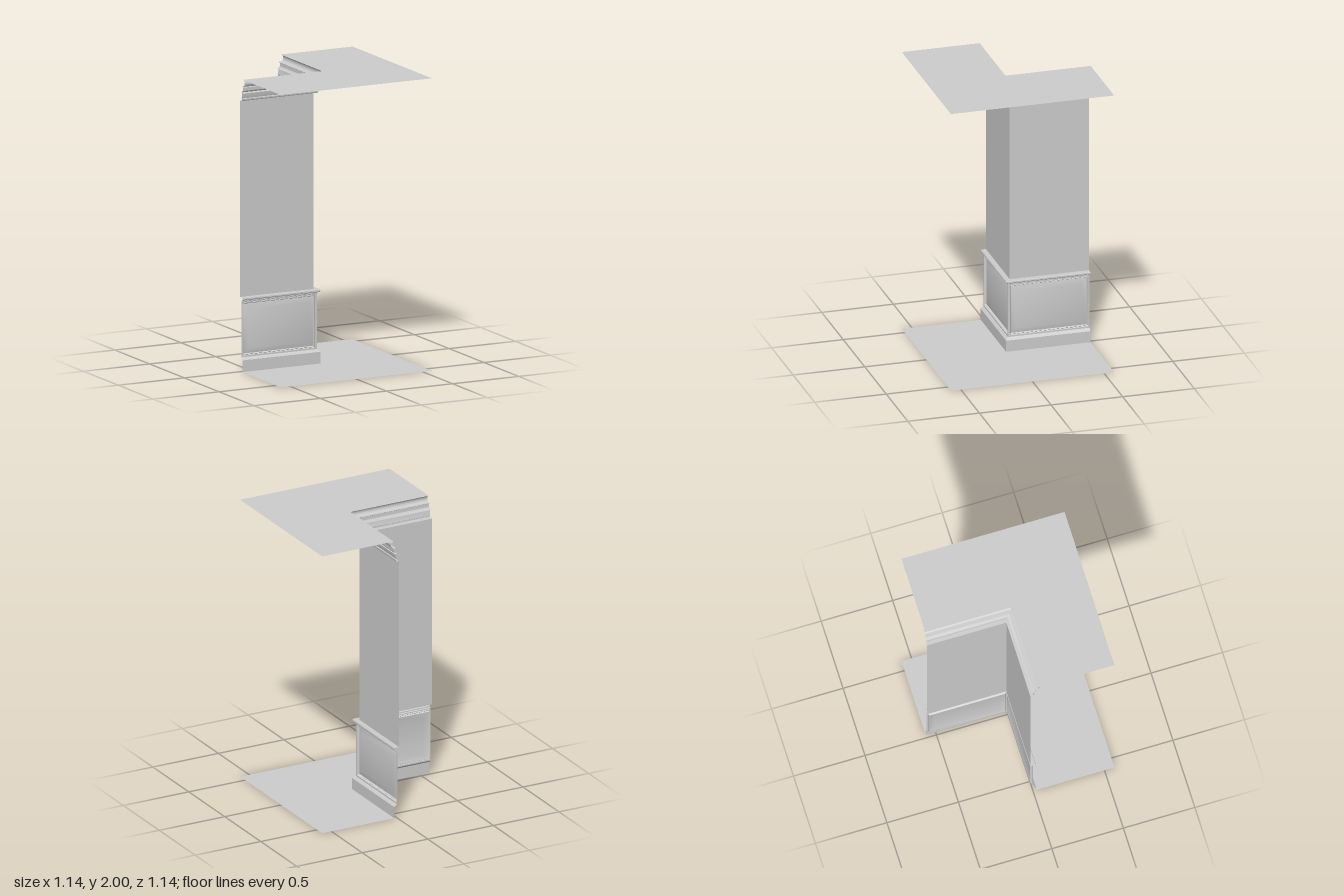
import * as THREE from 'three';
import { toCreasedNormals } from 'three/addons/utils/BufferGeometryUtils.js';

const END = 0.57;      // extent of walls, floor and ceiling
const WALL = -0.017;   // wall plane offset
const material = new THREE.MeshStandardMaterial({ color: 0xcccccc, side: THREE.DoubleSide });

function addMesh(group, name, geometry) {
  const mesh = new THREE.Mesh(geometry, material);
  mesh.name = name;
  group.add(mesh);
}

// Joins neighbouring rows of points with quads
function loft(rows) {
  const positions = [];
  for (let i = 0; i < rows.length - 1; i++) {
    for (let j = 0; j < rows[i].length - 1; j++) {
      const a = rows[i][j], b = rows[i][j + 1], c = rows[i + 1][j + 1], d = rows[i + 1][j];
      positions.push(...a, ...b, ...c, ...a, ...c, ...d);
    }
  }
  const geometry = new THREE.BufferGeometry();
  geometry.setAttribute('position', new THREE.Float32BufferAttribute(positions, 3));
  geometry.computeVertexNormals();
  return toCreasedNormals(geometry, 0.5);
}

// Runs a profile of [offset, height] along both walls, mitred at the corner
function sweep(profile) {
  return loft(profile.map(([d, y]) => [[-END, y, d], [d, y, d], [d, y, -END]]));
}

// Raised panel made of nested rectangles: [u0, u1, y0, y1, depth]
function panel(rings, side) {
  const place = (u, y, d) => (side ? [d, y, u] : [u, y, d]);
  const rows = rings.map(([u0, u1, y0, y1, d]) => {
    const row = [[u0, y0], [u1, y0], [u1, y1], [u0, y1], [u0, y0]].map(([u, y]) => place(u, y, d));
    return side ? row.reverse() : row;
  });
  // Close the centre field
  const [u0, u1, y0, y1, d] = rings[rings.length - 1];
  const um = (u0 + u1) / 2, ym = (y0 + y1) / 2;
  rows.push(Array.from({ length: 5 }, () => place(um, ym, d)));
  return loft(rows);
}

// L-shaped sheet with the back left quarter cut out
function sheet(notch, y, faceUp) {
  const s = faceUp ? -1 : 1;
  const corners = [[-END, END], [END, END], [END, -END], [notch, -END], [notch, notch], [-END, notch]];
  const shape = new THREE.Shape(corners.map(([x, z]) => new THREE.Vector2(x, s * z)));
  return new THREE.ShapeGeometry(shape).rotateX(s * Math.PI / 2).translate(0, y, 0);
}

export function createModel() {
  const group = new THREE.Group();

  addMesh(group, 'floor', sheet(0.019, 0, true));
  addMesh(group, 'ceiling', sheet(0.026, 2, false));
  addMesh(group, 'walls', sweep([[WALL, 0.507], [WALL, 1.85]]));

  addMesh(group, 'baseboard', sweep([
    [0.019, 0], [0.019, 0.08], [0.014, 0.084], [0.008, 0.092], [0, 0.097],
  ]));
  addMesh(group, 'chairRail', sweep([
    [0, 0.477], [0.007, 0.48], [0.007, 0.487], [0.016, 0.489],
    [0.019, 0.493], [0.019, 0.502], [0.016, 0.507], [WALL, 0.507],
  ]));

  // Wainscot: flat frame, moulded groove, bevel and raised field
  const rings = [
    [-END, 0, 0.097, 0.477, 0],
    [-0.561, -0.012, 0.108, 0.47, 0],
    [-0.559, -0.014, 0.111, 0.467, -0.009],
    [-0.556, -0.017, 0.114, 0.464, -0.006],
    [-0.552, -0.021, 0.119, 0.459, -0.015],
    [-0.513, -0.058, 0.152, 0.42, -0.003],
  ];
  addMesh(group, 'frontPanel', panel(rings, false));
  addMesh(group, 'sidePanel', panel(rings, true));

  // Stepped cornice finished with a rounded bullnose
  const cornice = [
    [WALL, 1.85], [0.005, 1.851], [0.008, 1.856], [0.008, 1.864], [0.003, 1.867],
    [0.008, 1.88], [0.011, 1.902], [-0.003, 1.908], [0.016, 1.914],
    [0.021, 1.922], [0.022, 1.945], [0.009, 1.952],
  ];
  for (let i = 0; i <= 10; i++) {
    const a = -Math.PI / 2 + (Math.PI * i) / 10;
    cornice.push([0.026 + 0.02 * Math.cos(a), 1.976 + 0.024 * Math.sin(a)]);
  }
  addMesh(group, 'cornice', sweep(cornice));

  return group;
}
